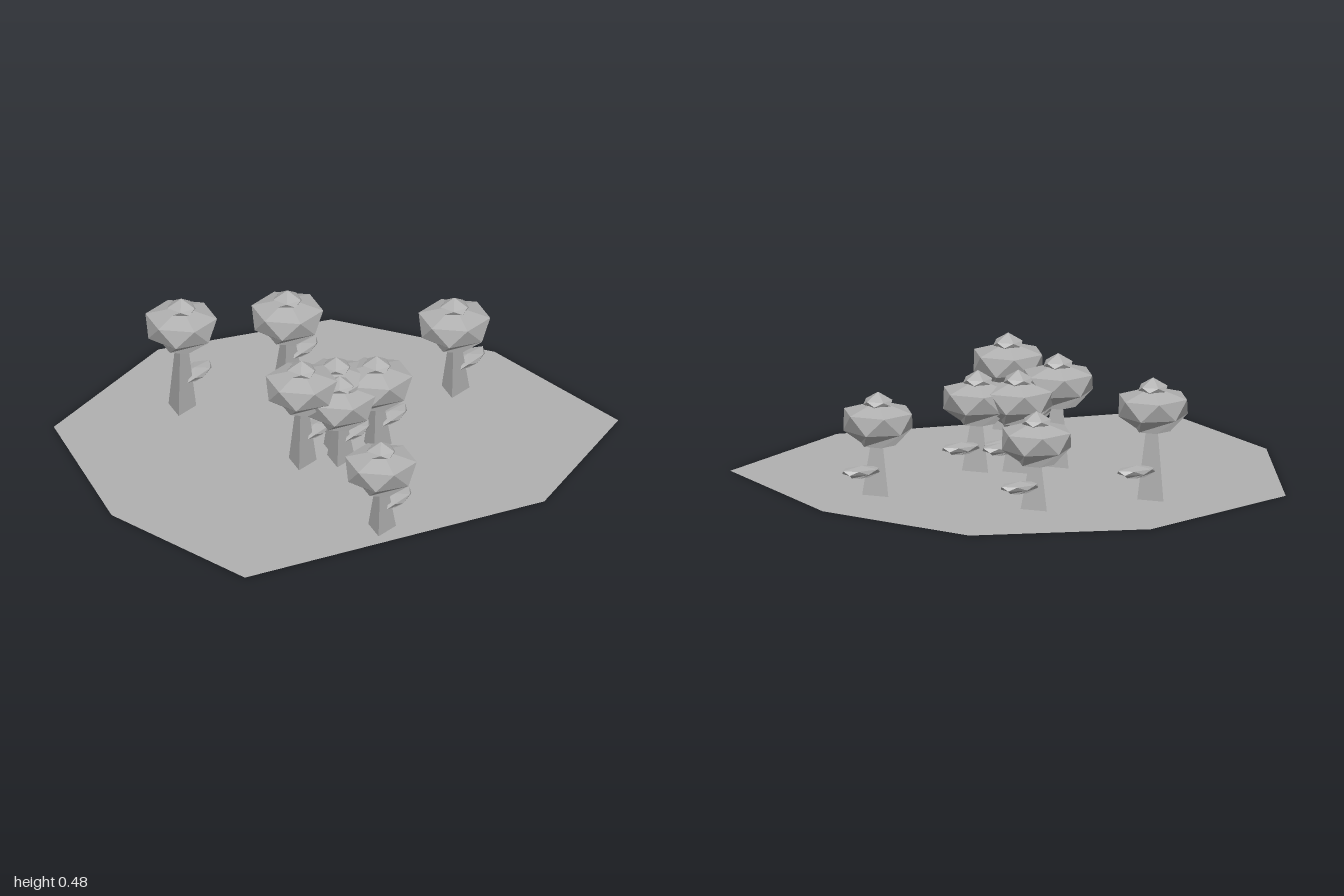
import * as THREE from 'three';

// Faceted solid from rings [radius, y, turn]; radius 0 makes a closing point.
function ringSolid(rings, sides) {
  const pos = [];
  const point = ([r, y, turn], i) => {
    const a = ((i + turn) / sides) * Math.PI * 2;
    return [r * Math.cos(a), y, -r * Math.sin(a)];
  };
  for (let k = 0; k < rings.length - 1; k++) {
    const lo = rings[k], hi = rings[k + 1];
    // A ring turned by half a step leans the diagonals the other way.
    const shift = hi[2] < lo[2] ? 1 : 0;
    for (let i = 0; i < sides; i++) {
      const a = point(lo, i), b = point(lo, i + 1);
      const c = point(hi, i + shift), d = point(hi, i + 1 + shift);
      if (shift) {
        if (lo[0] > 0) pos.push(...a, ...b, ...c);
        if (hi[0] > 0) pos.push(...b, ...d, ...c);
      } else {
        if (lo[0] > 0) pos.push(...a, ...b, ...d);
        if (hi[0] > 0) pos.push(...a, ...d, ...c);
      }
    }
  }
  const g = new THREE.BufferGeometry();
  g.setAttribute('position', new THREE.Float32BufferAttribute(pos, 3));
  g.computeVertexNormals();
  return g;
}

export function createModel() {
  const model = new THREE.Group();
  model.name = 'treeIsland';
  const grey = new THREE.MeshStandardMaterial({ color: 0xb0b0b0, flatShading: true });
  grey.name = 'stone grey';
  const greyTwoSided = new THREE.MeshStandardMaterial({
    color: 0xb0b0b0, flatShading: true, side: THREE.DoubleSide,
  });
  greyTwoSided.name = 'ground grey';

  // Flat irregular ground, outline as x, z
  const outline = [
    [-0.52, -0.89], [0.21, -0.96], [0.81, -0.59], [1, 0.06],
    [0.87, 0.77], [0.19, 0.95], [-1, 0.43], [-0.93, -0.28],
  ];
  const shape = new THREE.Shape(outline.map(([x, z]) => new THREE.Vector2(x, -z)));
  const ground = new THREE.Mesh(new THREE.ShapeGeometry(shape).rotateX(-Math.PI / 2), greyTwoSided);
  ground.name = 'ground';
  model.add(ground);

  // Crown, measured down from the tree's tip
  const crownGeo = ringSolid([
    [0, -0.215, 0], [0.07, -0.207, 0], [0.135, -0.148, 0.5],
    [0.139, -0.077, 0], [0, -0.035, 0],
  ], 6);
  const capGeo = ringSolid([
    [0.04, -0.07, 0], [0.057, -0.05, 0.5], [0.055, -0.033, 0], [0, 0, 0],
  ], 5);
  // Low side clump, long in x
  const clumpGeo = ringSolid([
    [0, -0.025, 0], [0.5, -0.023, 0], [0.96, -0.006, 0.5], [1, 0.01, 0], [0, 0.022, 0],
  ], 6).scale(0.092, 1, 0.046);
  clumpGeo.computeVertexNormals();

  // Trees as x, z, height
  const trees = [
    [-0.10, -0.60, 0.48], [0.34, -0.43, 0.385], [-0.15, 0.03, 0.445], [0.02, 0.065, 0.40],
    [-0.04, 0.13, 0.365], [0.13, 0.175, 0.395], [0.665, 0.13, 0.405], [-0.37, 0.595, 0.38],
  ];
  for (const [x, z, h] of trees) {
    const tree = new THREE.Group();
    tree.name = 'tree';
    tree.position.set(x, 0, z);
    const add = (name, geo, px, py) => {
      const m = new THREE.Mesh(geo, grey);
      m.name = name;
      m.position.set(px, py, 0);
      tree.add(m);
      return m;
    };
    // Three-sided tapering trunk, flat side to the front
    const trunkH = h - 0.19;
    const trunkGeo = new THREE.CylinderGeometry(0.026, 0.062, trunkH, 3).rotateY(Math.PI);
    add('trunk', trunkGeo, 0, trunkH / 2);
    add('crown', crownGeo, 0, h);
    add('crownCap', capGeo, 0, h);
    add('sideClump', clumpGeo, 0.083, h * 0.255).rotation.z = 0.05;
    model.add(tree);
  }
  return model;
}
